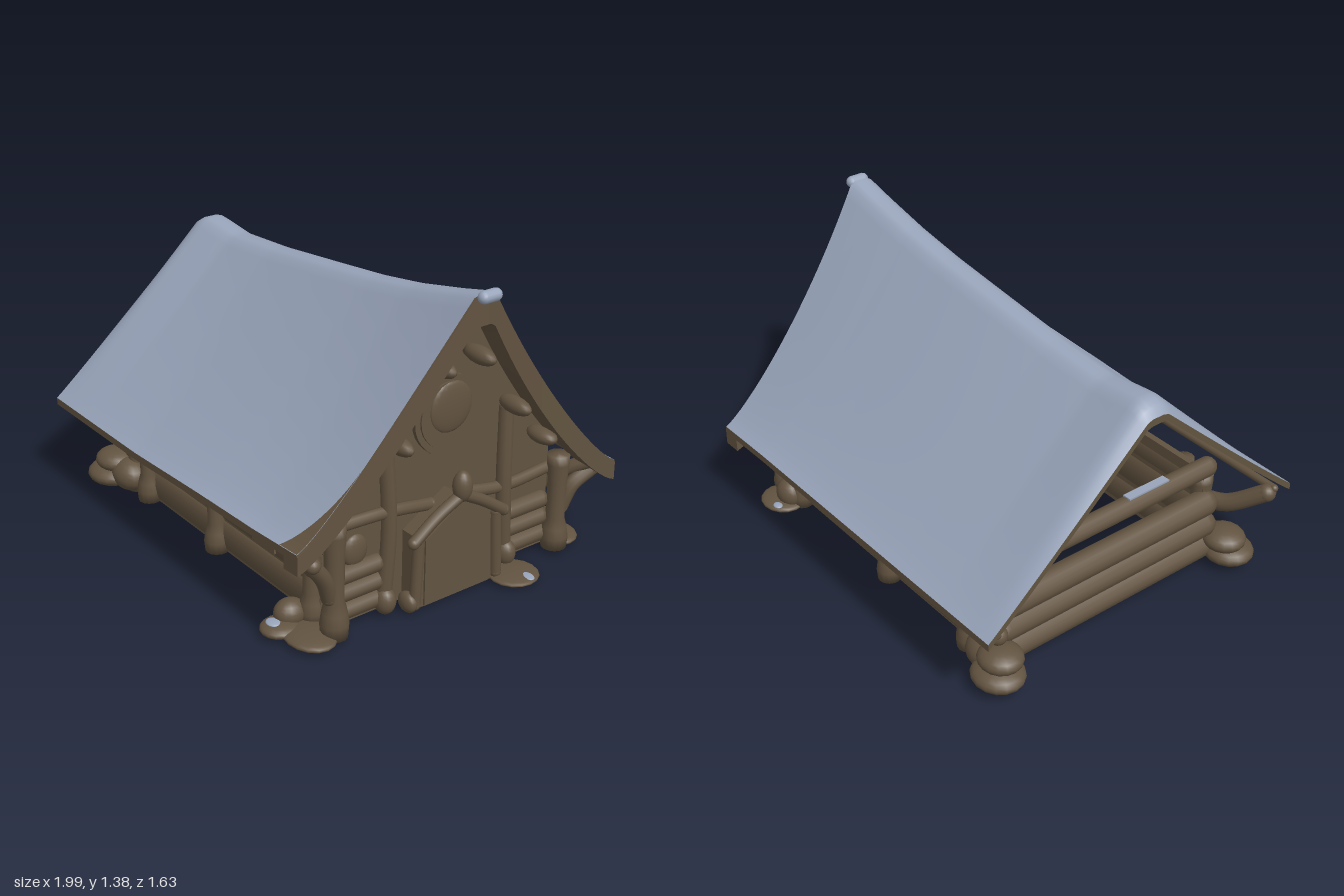
import * as THREE from 'three';

const wood = new THREE.MeshStandardMaterial({ color: 0x625340, side: THREE.DoubleSide });
wood.name = 'brown timber';
const slate = new THREE.MeshStandardMaterial({ color: 0x98a4ba, side: THREE.DoubleSide });
slate.name = 'blue grey roof';
const WOOD = 0, SLATE = 1;

// Piecewise linear lookup
function lookup(table, x) {
  for (let i = 1; i < table.length; i++) {
    const [x0, y0] = table[i - 1], [x1, y1] = table[i];
    if (x <= x1) return y0 + (y1 - y0) * Math.max(0, (x - x0) / (x1 - x0));
  }
  return table[table.length - 1][1];
}
const ridge = [[-1, 1.1], [-0.97, 1.14], [-0.93, 1.155], [-0.87, 1.15], [-0.7, 1.13], [-0.4, 1.15],
  [0, 1.195], [0.3, 1.23], [0.55, 1.27], [0.8, 1.325], [0.98, 1.37]];
const eaveFront = [[-1, 0.43], [-0.3, 0.435], [0.2, 0.46], [0.6, 0.475], [0.9, 0.495]];
const eaveBack = [[-1, 0.42], [0.6, 0.41], [0.9, 0.4]];

// Height of the swept roof at x, with v from -1 (back eave) to 1 (front eave)
function roofHeight(x, v) {
  const t = Math.max(0, (Math.abs(v) - 0.055) / 0.945);
  const eave = lookup(v > 0 ? eaveFront : eaveBack, x);
  return eave + (lookup(ridge, x) - eave) * Math.pow(1 - t, 1.13 + 0.1 * x);
}
function roofPoint(u, v, drop) {
  const t = Math.abs(v);
  const end = 0.89 + 0.07 * Math.pow(1 - t, 3) - 0.012 * v * t;
  const x = -1 + u * (end + 1);
  return new THREE.Vector3(x, roofHeight(x, v) - drop, v * 0.815);
}

// Grid surface whose cells take one of the two materials
function sheet(fn, nu, nv, pick) {
  const pos = [], cells = [[], []];
  for (let i = 0; i <= nu; i++) for (let j = 0; j <= nv; j++) pos.push(...fn(i / nu, j / nv).toArray());
  for (let i = 0; i < nu; i++) for (let j = 0; j < nv; j++) {
    const a = i * (nv + 1) + j, b = a + 1, c = a + nv + 1, d = c + 1;
    cells[pick(fn((i + 0.5) / nu, (j + 0.5) / nv))].push(a, b, c, b, d, c);
  }
  const g = new THREE.BufferGeometry();
  g.setAttribute('position', new THREE.Float32BufferAttribute(pos, 3));
  g.setIndex([...cells[0], ...cells[1]]);
  g.addGroup(0, cells[0].length, 0);
  g.addGroup(cells[0].length, cells[1].length, 1);
  g.computeVertexNormals();
  return g;
}
const allWood = () => WOOD;

// Closed strip of roof between two positions along the ridge
function roofSlab(name, u0, u1, top, bottom, nu, pickTop, pickUnder) {
  const group = new THREE.Group();
  group.name = name;
  const U = s => u0 + (u1 - u0) * s, V = s => 2 * s - 1;
  const between = (u, v, s) => roofPoint(u, v, top + (bottom(Math.abs(v)) - top) * s);
  const parts = {
    Top: [(a, b) => between(U(a), V(b), 0), nu, 60, pickTop],
    Underside: [(a, b) => between(U(1 - a), V(b), 1), nu, 60, pickUnder],
    RightEnd: [(a, b) => between(u1, V(b), a), 1, 60, allWood],
    LeftEnd: [(a, b) => between(u0, V(b), 1 - a), 1, 60, allWood],
    FrontEdge: [(a, b) => between(U(a), 1, b), nu, 1, allWood],
    BackEdge: [(a, b) => between(U(a), -1, 1 - b), nu, 1, allWood],
  };
  for (const [key, args] of Object.entries(parts)) {
    const m = new THREE.Mesh(sheet(...args), [wood, slate]);
    m.name = name + key;
    group.add(m);
  }
  return group;
}

export function createModel() {
  const house = new THREE.Group();
  house.name = 'timberHouse';
  const add = (name, geo, x = 0, y = 0, z = 0, mat = wood) => {
    const m = new THREE.Mesh(geo, mat);
    m.name = name;
    m.position.set(x, y, z);
    house.add(m);
    return m;
  };
  const blob = (name, x, y, z, sx, sy, sz, mat) => {
    add(name, new THREE.SphereGeometry(1, 16, 12), x, y, z, mat).scale.set(sx, sy, sz);
  };
  const tube = (name, points, r) => {
    const curve = new THREE.CatmullRomCurve3(points.map(p => new THREE.Vector3(...p)));
    add(name, new THREE.TubeGeometry(curve, 12, r, 10));
    for (const p of [points[0], points[points.length - 1]]) blob(name + 'End', ...p, r, r, r);
  };
  // Post with swollen foot and head
  const post = (name, x, z, h, r) => add(name, new THREE.LatheGeometry([
    [0, 0], [1.15, 0], [1.25, 0.12], [1.1, 0.22], [0.85, 0.32], [0.85, 0.7], [1, 0.9], [1, 1], [0, 1],
  ].map(([a, b]) => new THREE.Vector2(a * r, b * h)), 14), x, 0.018, z);
  // Outline given as [z, y], standing across x with its outer face at x + depth
  const plate = (name, points, x, depth) => {
    const shape = new THREE.Shape(points.map(([z, y]) => new THREE.Vector2(-z, y)));
    add(name, new THREE.ExtrudeGeometry(shape, { depth, bevelEnabled: false }), x).rotation.y = Math.PI / 2;
  };

  // Roof with a worn front corner, and timber rake boards on the tall gable
  const inside = p => (Math.abs(p.z) < 0.56 && p.x > -0.74 && p.x < 0.71 ? SLATE : WOOD);
  house.add(roofSlab('roof', 0, 1, 0, () => 0.032, 80, () => SLATE, inside));
  house.add(roofSlab('rakeBoard', 0.955, 1.002, 0.008, t => 0.13 + 0.11 * t * (1 - t) - 0.04 * t, 4, allWood, allWood));
  const wornPoint = (a, b) => roofPoint(1 - (1 - a) * 0.06 * b * b, 0.62 + 0.38 * b, -0.003);
  add('wornCorner', sheet(wornPoint, 8, 24, allWood), 0, 0, 0, [wood, slate]);
  const cap = add('ridgeCap', new THREE.CapsuleGeometry(0.026, 0.055, 6, 12), 0.968, 1.352, -0.004, slate);
  cap.rotation.x = Math.PI / 2;

  // Tall gable wall
  const outline = [[0.57, 0.02]];
  for (let i = 0; i <= 24; i++) {
    const z = 0.57 - i * 1.14 / 24;
    outline.push([z, roofHeight(0.74, z / 0.815) - 0.03]);
  }
  outline.push([-0.57, 0.02]);
  plate('gableWall', outline, 0.71, 0.04);

  // Gable framing
  for (const s of [1, -1]) {
    post('gableCornerPost', 0.8, s * 0.585, s > 0 ? 0.5 : 0.44, 0.048);
    tube('gableStud', [[0.77, 0.05, s * 0.32], [0.775, 0.4, s * 0.3], [0.76, 0.74, s * 0.31]], 0.033);
    blob('studFoot', 0.78, 0.07, s * 0.32, 0.05, 0.06, 0.045);
    tube('gableRail', [[0.76, s > 0 ? 0.47 : 0.39, s * 0.57], [0.77, s > 0 ? 0.46 : 0.385, s * 0.3], [0.76, 0.42, s * 0.08]], 0.026);
    for (const [y, z] of [[0.77, 0.3], [1.04, 0.1]]) blob('purlinEnd', 0.82, y, s * z, 0.09, 0.037, 0.037);
    tube('upperStrut', [[0.76, 1.04, s * 0.09], [0.76, 1.22, s * 0.015]], 0.02);
    for (const y of [0.08, 0.16, 0.24]) {
      const log = add('gableLog', new THREE.CapsuleGeometry(0.042, 0.18, 5, 10), 0.75, y, s * 0.44);
      log.rotation.x = Math.PI / 2;
    }
    tube('gableBrace', [[0.8, 0.2, s * 0.61], [0.82, 0.3, s * 0.65], [0.84, s > 0 ? 0.42 : 0.36, s * 0.74]], 0.034);
  }
  blob('purlinEnd', 0.82, 0.59, -0.46, 0.08, 0.035, 0.045);
  blob('gableSmallWindow', 0.75, 0.33, 0.45, 0.025, 0.07, 0.06);

  // Pointed round plaque high on the gable
  const plaque = (r, tip) => Array.from({ length: 28 }, (_, i) => {
    const a = i / 28 * Math.PI * 2, down = Math.max(0, -Math.sin(a));
    return [0.01 + r * Math.cos(a), 0.8 + Math.sin(a) * r - tip * Math.pow(down, 8)];
  });
  plate('plaque', plaque(0.165, 0.025), 0.74, 0.03);
  plate('plaqueRim', plaque(0.14, 0.015), 0.74, 0.038);
  blob('plaqueBoss', 0.775, 0.83, 0, 0.02, 0.11, 0.11);

  // Door porch
  plate('porch', [[0.21, 0.015], [0.21, 0.34], [0, 0.47], [-0.21, 0.34], [-0.21, 0.015]], 0.72, 0.12);
  plate('door', [[0.17, 0.02], [0.17, 0.32], [0, 0.43], [-0.17, 0.32], [-0.17, 0.02]], 0.84, 0.008);
  for (const s of [1, -1]) {
    tube('porchRafter', [[0.85, 0.33, s * 0.235], [0.85, 0.41, s * 0.12], [0.86, 0.48, 0]], 0.025);
    tube('porchJamb', [[0.84, 0.04, s * 0.215], [0.84, 0.33, s * 0.2]], 0.025);
  }
  blob('porchFoot', 0.82, 0.05, 0.235, 0.05, 0.045, 0.03);
  blob('porchFinial', 0.86, 0.515, 0, 0.04, 0.068, 0.042);

  // Long side walls
  for (const s of [1, -1]) {
    add('sideWall', new THREE.BoxGeometry(1.48, 0.45, 0.03), -0.02, 0.245, s * 0.555);
    for (const [y, r] of [[0.097, 0.075], [0.25, 0.085], [0.38, 0.06]]) {
      const log = add('sideLog', new THREE.CylinderGeometry(r, r, 1.46, 14), -0.02, y, s * 0.558);
      log.rotation.z = Math.PI / 2;
      log.scale.z = 0.4;
    }
    for (const x of [-0.59, -0.03, 0.66]) post('sidePost', x, s * 0.59, 0.42, 0.045);
    for (const x of [-0.36, 0.33]) {
      const arch = new THREE.Shape();
      arch.moveTo(-0.08, 0.2);
      arch.lineTo(0.08, 0.2);
      arch.quadraticCurveTo(0.07, 0.4, 0, 0.4);
      arch.quadraticCurveTo(-0.07, 0.4, -0.08, 0.2);
      add('sideWindow', new THREE.ExtrudeGeometry(arch, { depth: 0.008, bevelEnabled: false }), x, 0, s > 0 ? 0.588 : -0.596);
    }
    tube('eaveBeam', [[-0.97, 0.415, s * 0.75], [0, 0.42, s * 0.75], [0.86, s > 0 ? 0.46 : 0.39, s * 0.75]], 0.018);
    tube('cornerBrace', [[-0.68, 0.27, s * 0.61], [-0.8, 0.29, s * 0.65], [-0.95, 0.39, s * 0.73]], 0.04);
    tube('sideBrace', [[0.7, 0.28, s * 0.62], [0.77, 0.35, s * 0.66], [0.86, 0.41, s * 0.73]], 0.032);
    // Crossed log ends at the low gable
    blob('lowerLogEnd', -0.84, 0.07, s * 0.64, 0.12, 0.052, 0.11);
    blob('upperLogEnd', -0.83, 0.135, s * 0.62, 0.1, 0.052, 0.095);
    blob('cornerLogEnd', -0.73, 0.095, s * 0.61, 0.1, 0.075, 0.08);
    post('rearCornerPost', -0.72, s * 0.57, 0.42, 0.05);
  }

  // Low gable: stacked logs, then a gap under the tie beam
  add('rearWall', new THREE.BoxGeometry(0.03, 0.34, 1.12), -0.745, 0.19, 0);
  for (const y of [0.09, 0.2, 0.31, 0.5]) {
    const log = add('rearLog', new THREE.CapsuleGeometry(y > 0.4 ? 0.045 : 0.06, 1.1, 5, 12), -0.76, y, 0);
    log.rotation.x = Math.PI / 2;
  }
  add('tieBeamPatch', new THREE.BoxGeometry(0.04, 0.008, 0.22), -0.76, 0.545, 0.2, slate);

  // Stones on the ground
  blob('stepStone', 0.87, 0.018, -0.29, 0.11, 0.018, 0.11);
  blob('stepStonePatch', 0.93, 0.027, -0.31, 0.04, 0.008, 0.025, slate);
  blob('frontStone', 0.62, 0.065, 0.67, 0.06, 0.06, 0.07);
  blob('frontLowStone', 0.64, 0.03, 0.73, 0.08, 0.03, 0.085);
  blob('frontFlatStone', 0.75, 0.025, 0.67, 0.13, 0.025, 0.1);
  blob('frontStonePatch', 0.63, 0.055, 0.755, 0.035, 0.009, 0.03, slate);
  blob('backFlatStone', 0.73, 0.025, -0.65, 0.11, 0.025, 0.1);
  blob('backStone', 0.7, 0.07, -0.63, 0.07, 0.07, 0.06);
  blob('backStonePatch', 0.68, 0.041, -0.71, 0.025, 0.008, 0.02, slate);
  return house;
}
